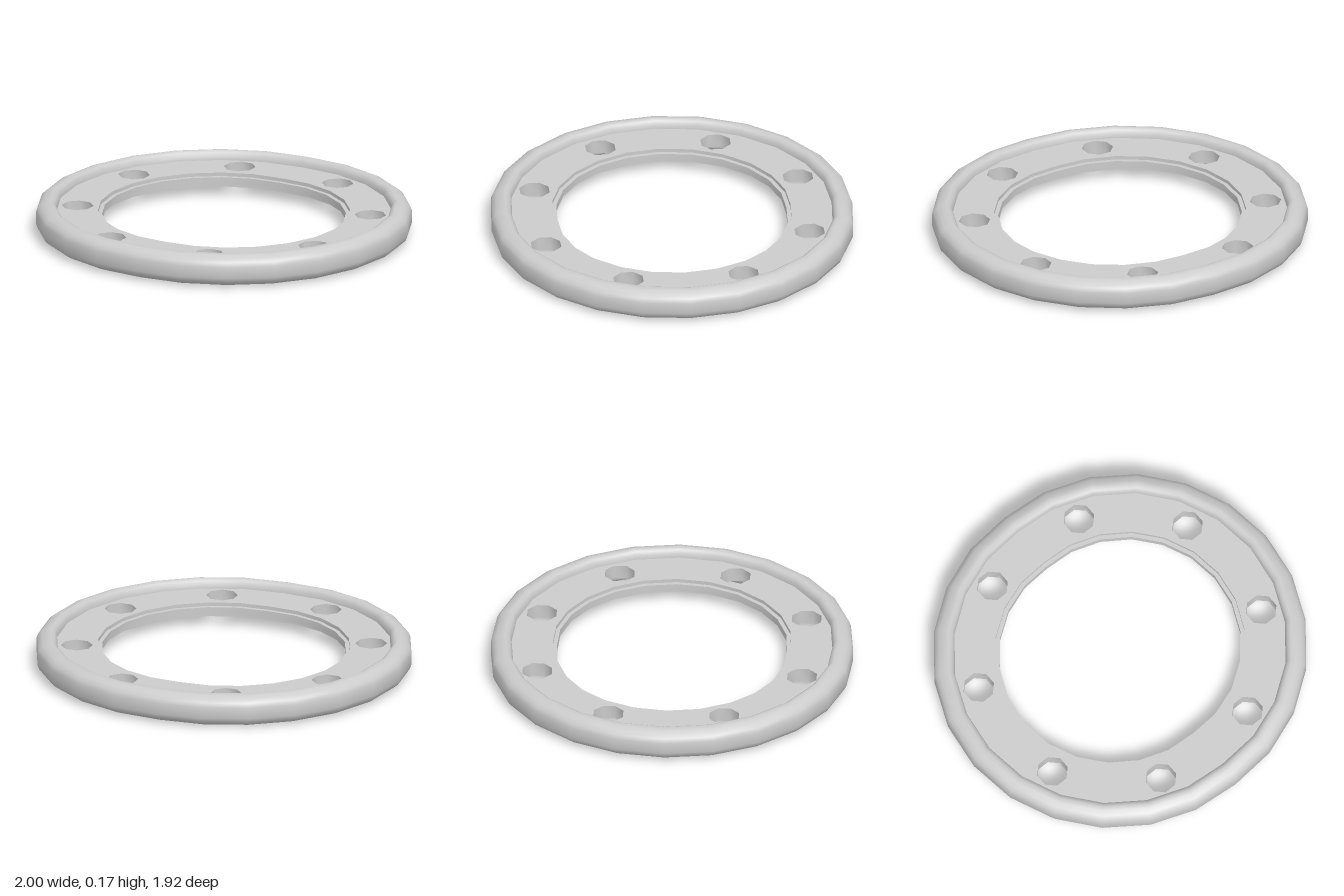
import * as THREE from 'three';
import { toCreasedNormals } from 'three/addons/utils/BufferGeometryUtils.js';

const SIDES = 24;
const material = new THREE.MeshStandardMaterial({ color: 0xcccccc });

// Point on the slightly oval outline, moved inwards by inset
function outline(angle, inset) {
  const r = 0.958 + 0.042 * Math.abs(Math.sin(angle)) - inset;
  return [r * Math.sin(angle), r * Math.cos(angle)];
}

// Sweep a closed [inset, height] profile (up outside, down inside) around the outline
function sweep(profile, crease) {
  const n = profile.length, positions = [], index = [];
  for (let i = 0; i < SIDES; i++) {
    for (const [inset, y] of profile) {
      const [x, z] = outline((i / SIDES) * Math.PI * 2, inset);
      positions.push(x, y, z);
    }
  }
  for (let i = 0; i < SIDES; i++) {
    for (let j = 0; j < n; j++) {
      const i2 = (i + 1) % SIDES, j2 = (j + 1) % n;
      const a = i * n + j, b = i2 * n + j, c = i2 * n + j2, d = i * n + j2;
      index.push(a, b, c, a, c, d);
    }
  }
  const geo = new THREE.BufferGeometry();
  geo.setAttribute('position', new THREE.Float32BufferAttribute(positions, 3));
  geo.setIndex(index);
  return toCreasedNormals(geo, crease);
}

function outlinePoints(inset) {
  return Array.from({ length: SIDES }, (_, i) =>
    new THREE.Vector2(...outline((i / SIDES) * Math.PI * 2, inset)));
}

export function createModel() {
  const model = new THREE.Group();
  const add = (name, geo) => {
    const mesh = new THREE.Mesh(geo, material);
    mesh.name = name;
    model.add(mesh);
  };

  // Rounded outer rim, mirrored about mid height
  const upper = [[0, 0.118], [0.009, 0.142], [0.029, 0.158], [0.054, 0.169],
    [0.078, 0.175], [0.096, 0.166], [0.106, 0.15], [0.11, 0.125]];
  const lower = upper.map(([d, y]) => [d, 0.175 - y]).reverse();
  add('outerRim', sweep([...upper, ...lower], 0.8));

  // Flat ring plate; its openings wind opposite to its outer edge
  const shape = new THREE.Shape(outlinePoints(0.09));
  shape.holes.push(new THREE.Path(outlinePoints(0.328).reverse()));

  // Eight octagonal bolt holes
  for (const sx of [-1, 1]) {
    for (const sz of [-1, 1]) {
      for (const [x, z] of [[0.296, 0.7], [0.715, 0.306]]) {
        const hole = Array.from({ length: 8 }, (_, i) => {
          const a = ((i + 0.5) / 8) * Math.PI * 2;
          return new THREE.Vector2(sx * x + 0.084 * Math.cos(a), sz * z + 0.084 * Math.sin(a));
        });
        shape.holes.push(new THREE.Path(hole));
      }
    }
  }
  const plate = new THREE.ExtrudeGeometry(shape, { depth: 0.077, bevelEnabled: false });
  plate.rotateX(-Math.PI / 2).translate(0, 0.049, 0);
  add('boltPlate', toCreasedNormals(plate, 0.9));

  // Thin stepped lip inside the plate
  add('innerLip', sweep([[0.32, 0.068], [0.32, 0.107], [0.35, 0.107], [0.35, 0.068]], 0.6));

  return model;
}
